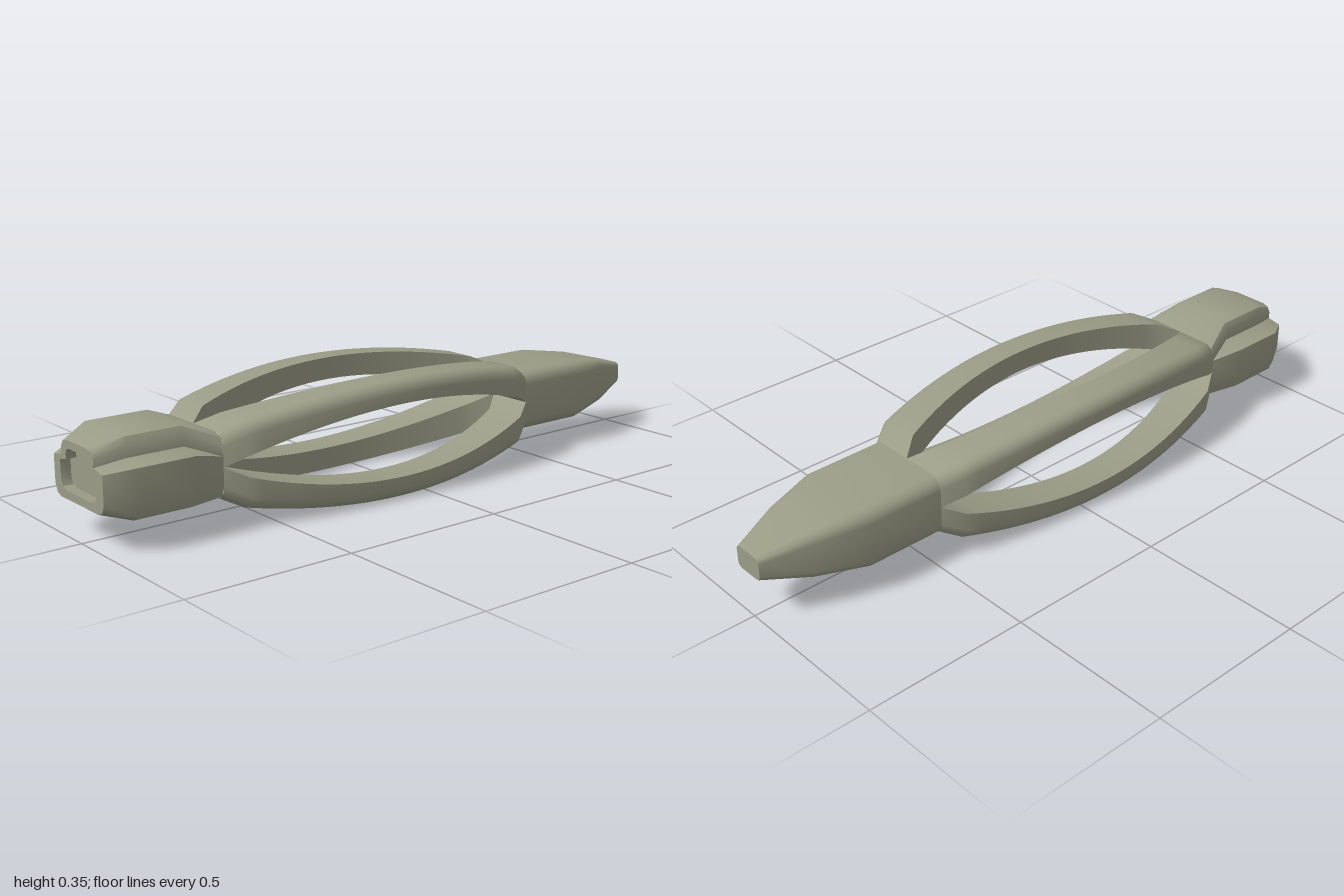
import * as THREE from 'three';
import { toCreasedNormals } from 'three/addons/utils/BufferGeometryUtils.js';

const CY = 0.1735;      // height of the long axis
const R = 0.036;        // corner radius of the full-size section
const HALF_W = 0.145, HALF_H = 0.092;

// Skin closed rings of [x, y, z], counter-clockwise from +z, listed along +z
function loft(rings, capStart = false) {
  const pos = [];
  const n = rings[0].length;
  for (let i = 0; i < rings.length - 1; i++) {
    for (let j = 0; j < n; j++) {
      const k = (j + 1) % n;
      const a = rings[i][j], b = rings[i][k], c = rings[i + 1][k], d = rings[i + 1][j];
      pos.push(...a, ...b, ...c, ...a, ...c, ...d);
    }
  }
  if (capStart) {
    const r = rings[0];
    for (let j = 0; j < n; j++) pos.push(0, CY, r[0][2], ...r[(j + 1) % n], ...r[j]);
  }
  const g = new THREE.BufferGeometry();
  g.setAttribute('position', new THREE.Float32BufferAttribute(pos, 3));
  return toCreasedNormals(g, 0.7);
}

// Points of a rounded corner at (w, h), from the side to the top
function corner(w, h, r) {
  return [0, 1, 2, 3, 4].map(i => {
    const a = i * Math.PI / 8;
    return [w - r + r * Math.cos(a), h - r + r * Math.sin(a)];
  });
}

// Mirror a right-hand half outline (bottom to top) into a full one
function mirrored(half) {
  return [...half, ...half.slice().reverse().map(([x, y]) => [-x, y])];
}

function roundedRing(w, h, r, z) {
  const c = corner(w, h, r);
  const half = [...c.slice().reverse().map(([x, y]) => [x, -y]), ...c];
  return mirrored(half).map(([x, y]) => [x, y + CY, z]);
}

// One bowed arm: a quarter of the body section, pushed outward in the middle
function armGeometry(sx, sy) {
  const mid = 0.09, rings = [];
  const addRing = (z, ix, iy, ox, oy) => {
    const ring = [[ix, iy], [ox, iy], ...corner(ox, oy, R), [ix, oy]]
      .map(([x, y]) => [sx * x, CY + sy * y, z]);
    rings.push(sx * sy < 0 ? ring.reverse() : ring);
  };
  addRing(mid - 0.56, 0, 0, HALF_W, HALF_H);
  const steps = 24;
  for (let i = 0; i <= steps; i++) {
    const t = -1 + 2 * i / steps, b = 1 - t * t;
    addRing(mid + 0.5 * t, 0.045 + 0.09 * b, 0.03 + 0.077 * b,
      0.182 + 0.058 * b, 0.122 + 0.0515 * b);
  }
  addRing(mid + 0.56, 0, 0, HALF_W, HALF_H);
  return loft(rings);
}

export function createModel() {
  const group = new THREE.Group();
  const sage = new THREE.MeshStandardMaterial({ color: 0x9a9c86 });
  sage.name = 'sage grey';
  const add = (name, geometry) => {
    const mesh = new THREE.Mesh(geometry, sage);
    mesh.name = name;
    group.add(mesh);
  };

  // Four bowed arms around an open middle
  for (const [sx, side] of [[1, 'Left'], [-1, 'Right']]) {
    for (const [sy, level] of [[1, 'upper'], [-1, 'lower']]) {
      add(`${level}${side}Arm`, armGeometry(sx, sy));
    }
  }

  // Tapering tail
  add('tail', loft([
    roundedRing(0.05, 0.035, 0.016, -1),
    roundedRing(0.102, 0.071, 0.027, -0.86),
    roundedRing(HALF_W, HALF_H, R, -0.71),
    roundedRing(HALF_W, HALF_H, R, -0.47),
  ], true));

  // Front block: wide base with a raised ridge on top
  const neck = [[0.11, 0.0815], [0.135, 0.091], [0.145, 0.12], [0.145, 0.205],
    [0.145, 0.215], [0.145, 0.233], [0.135, 0.256], [0.11, 0.2655]];
  const full = [[0.135, 0.082], [0.163, 0.094], [0.177, 0.13], [0.177, 0.232],
    [0.112, 0.243], [0.112, 0.275], [0.1, 0.297], [0.068, 0.306]];
  const face = [[0.1, 0.105], [0.12, 0.113], [0.13, 0.135], [0.13, 0.216],
    [0.085, 0.225], [0.085, 0.247], [0.076, 0.263], [0.056, 0.269]];
  const at = (half, z) => mirrored(half).map(([x, y]) => [x, y, z]);
  add('frontBlock', loft([at(neck, 0.65), at(full, 0.75), at(full, 0.92), at(face, 1)]));

  // Front face with a shallow recess of the same outline
  const socket = [[0.066, 0.129], [0.087, 0.136], [0.096, 0.155], [0.096, 0.209],
    [0.062, 0.215], [0.062, 0.231], [0.057, 0.242], [0.044, 0.247]];
  const outline = half => mirrored(half).map(([x, y]) => new THREE.Vector2(x, y));
  const faceShape = new THREE.Shape(outline(face));
  faceShape.holes.push(new THREE.Path(outline(socket)));
  add('frontFace', new THREE.ShapeGeometry(faceShape).translate(0, 0, 1));
  add('socketWall', loft([at(socket, 1), at(socket, 0.97)]));
  add('socketFloor', new THREE.ShapeGeometry(new THREE.Shape(outline(socket))).translate(0, 0, 0.97));

  return group;
}
